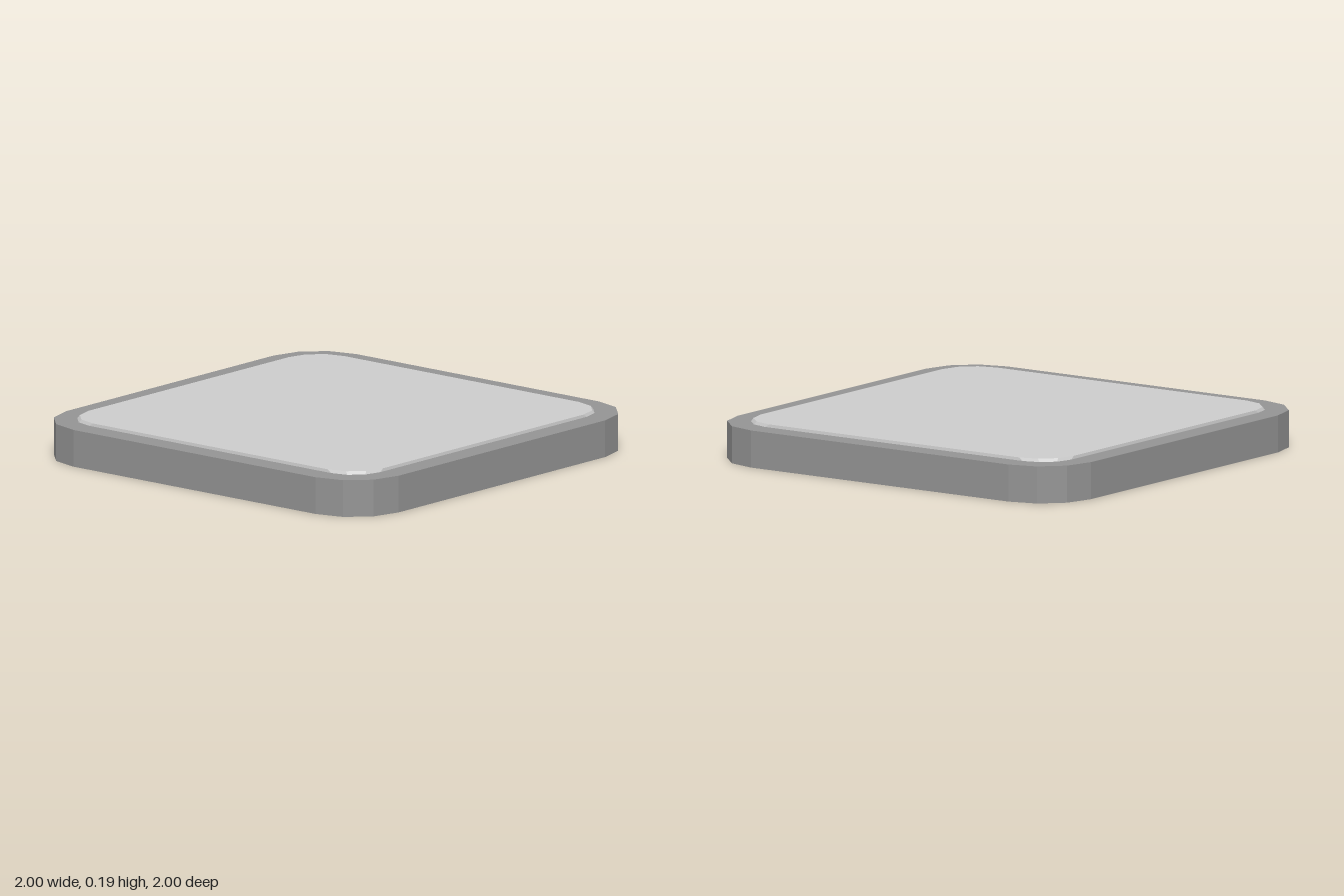
import * as THREE from 'three';

const CORNER_STEPS = 3;

// Square outline with rounded corners, as [x, z] points
function outline(half, radius) {
  const points = [];
  for (let corner = 0; corner < 4; corner++) {
    const mid = (corner + 0.5) * Math.PI / 2;
    const cx = Math.sign(Math.cos(mid)) * (half - radius);
    const cz = Math.sign(Math.sin(mid)) * (half - radius);
    for (let i = 0; i <= CORNER_STEPS; i++) {
      const a = (corner + i / CORNER_STEPS) * Math.PI / 2;
      points.push([cx + radius * Math.cos(a), cz + radius * Math.sin(a)]);
    }
  }
  return points;
}

// Walls between two outlines with a flat lid; the underside stays open
function openBox(lower, y0, upper, y1) {
  const positions = [];
  lower.forEach((p, i) => {
    const j = (i + 1) % lower.length;
    const a = [p[0], y0, p[1]], b = [lower[j][0], y0, lower[j][1]];
    const c = [upper[i][0], y1, upper[i][1]], d = [upper[j][0], y1, upper[j][1]];
    positions.push(...a, ...c, ...b, ...c, ...d, ...b);
    positions.push(0, y1, 0, ...d, ...c);
  });
  const geometry = new THREE.BufferGeometry();
  geometry.setAttribute('position', new THREE.Float32BufferAttribute(positions, 3));
  geometry.computeVertexNormals();
  return geometry;
}

export function createModel() {
  const darkGrey = new THREE.MeshStandardMaterial({ color: 0x949494, side: THREE.DoubleSide });
  darkGrey.name = 'darkGrey';
  const lightGrey = new THREE.MeshStandardMaterial({ color: 0xcdcdcd, side: THREE.DoubleSide });
  lightGrey.name = 'lightGrey';

  const model = new THREE.Group();
  model.name = 'floorTile';

  // Hollow base slab, open underneath
  const rim = outline(1, 0.27);
  const base = new THREE.Mesh(openBox(rim, 0, rim, 0.173), darkGrey);
  base.name = 'baseSlab';

  // Raised panel, its corners slightly rounder at the top
  const panel = new THREE.Mesh(
    openBox(outline(0.89, 0.16), 0.173, outline(0.888, 0.18), 0.187), lightGrey);
  panel.name = 'topPanel';

  model.add(base, panel);
  return model;
}
